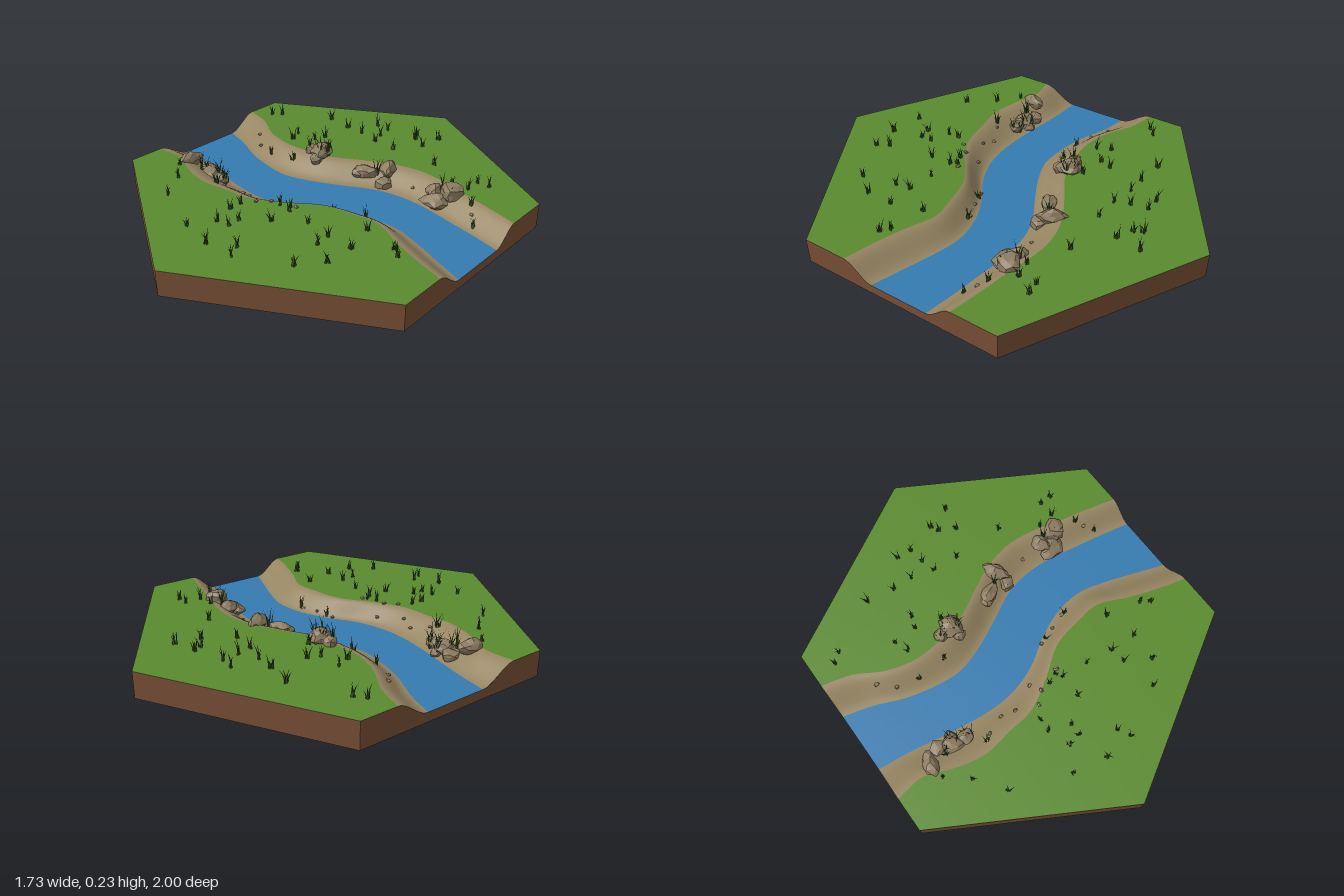
import * as THREE from 'three';
import { mergeGeometries } from 'three/addons/utils/BufferGeometryUtils.js';

const HALF = 0.866, TOP = 0.125, WATER = 0.045;

const material = (name, color, extra = {}) => {
  const m = new THREE.MeshStandardMaterial({ color, ...extra });
  m.name = name;
  return m;
};

// Small seeded random generator
let seed = 7;
const rand = (a = 0, b = 1) => {
  seed = (seed * 16807) % 2147483647;
  return a + (b - a) * (seed / 2147483647);
};

// Smooth line z(x) through 13 values evenly spaced from one end to the other
function edgeLine(vals) {
  const n = vals.length - 1;
  const at = i => (i < 0 ? 2 * vals[0] - vals[1] : i > n ? 2 * vals[n] - vals[n - 1] : vals[i]);
  return x => {
    const t = THREE.MathUtils.clamp((x + HALF) / (2 * HALF), 0, 1) * n;
    const i = Math.min(Math.floor(t), n - 1), f = t - i;
    const [a, b, c, d] = [at(i - 1), at(i), at(i + 1), at(i + 2)];
    return b + 0.5 * f * (c - a + f * (2 * a - 5 * b + 4 * c - d + f * (3 * (b - c) + d - a)));
  };
}
const northGrass = edgeLine([-.32, -.28, -.2, -.165, -.175, -.21, -.29, -.36, -.39, -.375, -.34, -.31, -.275]);
const northWater = edgeLine([-.16, -.12, -.06, -.025, -.015, -.06, -.13, -.205, -.235, -.23, -.205, -.18, -.15]);
const southWater = edgeLine([.15, .165, .19, .215, .23, .22, .17, .08, .02, .005, .04, .09, .14]);
const southGrass = edgeLine([.33, .315, .37, .4, .38, .36, .28, .18, .145, .13, .19, .24, .28]);
const hexEdge = x => 1 - (Math.abs(x) * 0.5) / HALF;

// Terrain height: level grass, sloping banks, level water
function heightAt(x, z) {
  const s = Math.max(
    (z - northWater(x)) / (northGrass(x) - northWater(x)),
    (z - southWater(x)) / (southGrass(x) - southWater(x)));
  return WATER + (TOP - WATER) * THREE.MathUtils.smoothstep(s, 0, 1);
}

// Grid surface from a rule (u, v) -> [x, y, z]
function surface(point, nu, nv) {
  const pos = [], idx = [];
  for (let j = 0; j <= nv; j++) for (let i = 0; i <= nu; i++) pos.push(...point(i / nu, j / nv));
  for (let j = 0; j < nv; j++) for (let i = 0; i < nu; i++) {
    const a = j * (nu + 1) + i, c = a + nu + 1;
    idx.push(a, a + 1, c, a + 1, c + 1, c);
  }
  const g = new THREE.BufferGeometry();
  g.setAttribute('position', new THREE.Float32BufferAttribute(pos, 3));
  g.setIndex(idx);
  g.computeVertexNormals();
  return g;
}

// Terrain band between two lines running along x
const band = (from, to, rows) => surface((u, v) => {
  const x = (v * 2 - 1) * HALF;
  const z = THREE.MathUtils.lerp(from(x), to(x), u);
  return [x, heightAt(x, z), z];
}, rows, 72);

// Irregular stone: an icosahedron with jittered corners
function stone(x, z, w, h, d, turn, detail = 1) {
  const g = new THREE.IcosahedronGeometry(1, detail);
  const p = g.attributes.position, v = new THREE.Vector3(), k = rand(1, 9);
  for (let i = 0; i < p.count; i++) {
    v.fromBufferAttribute(p, i);
    const bump = Math.sin(v.x * 5 + k) + Math.sin(v.y * 6 + k * 2) + Math.sin(v.z * 5 + k * 3);
    v.multiplyScalar(1 + 0.08 * bump);
    p.setXYZ(i, v.x, v.y, v.z);
  }
  g.scale(w, h, d).rotateY(turn).translate(x, heightAt(x, z) + h * 0.35, z);
  g.computeVertexNormals();
  return g;
}

// Tuft of thin blades bending outward
function tuft(x, z, height, count) {
  const blades = [];
  const start = rand(0, 6.28);
  for (let i = 0; i < count; i++) {
    const h = height * rand(0.6, 1.1), bend = rand(0.15, 0.45) / h;
    const g = new THREE.ConeGeometry(0.0055, h, 3, 3).translate(0, h / 2, 0);
    const p = g.attributes.position;
    for (let k = 0; k < p.count; k++) p.setX(k, p.getX(k) + bend * p.getY(k) ** 2);
    g.rotateY(start + (i * 6.28) / count + rand(-0.4, 0.4));
    g.translate(x + rand(-.008, .008), heightAt(x, z) - 0.004, z + rand(-.008, .008));
    g.computeVertexNormals();
    blades.push(g);
  }
  return mergeGeometries(blades);
}

export function createModel() {
  seed = 7;
  const group = new THREE.Group();
  const grass = material('grass green', 0x5a8a2e);
  const sand = material('sand', 0x968562);
  const water = material('water blue', 0x357bb0);
  const soil = material('soil brown', 0x784f36);
  const rock = material('rock', 0x8c7b60, { flatShading: true });
  const blade = material('blade green', 0x365a1e);
  const add = (name, geometry, mat) => {
    const mesh = new THREE.Mesh(geometry, mat);
    mesh.name = name;
    group.add(mesh);
  };

  // Ground surfaces from back to front
  add('northMeadow', band(x => -hexEdge(x), northGrass, 4), grass);
  add('northBank', band(northGrass, northWater, 10), sand);
  add('river', band(northWater, southWater, 4), water);
  add('southBank', band(southWater, southGrass, 10), sand);
  add('southMeadow', band(southGrass, hexEdge, 4), grass);

  // Soil walls follow the terrain, notched where the river leaves
  const corners = [[-HALF, .5], [0, 1], [HALF, .5], [HALF, -.5], [0, -1], [-HALF, -.5]];
  corners.forEach(([x0, z0], i) => {
    const [x1, z1] = corners[(i + 1) % 6];
    const isEnd = x0 === x1;
    add('soilWall', surface((u, v) => {
      const x = THREE.MathUtils.lerp(x0, x1, u), z = THREE.MathUtils.lerp(z0, z1, u);
      return [x, v * (isEnd ? heightAt(x, z) : TOP), z];
    }, isEnd ? 80 : 1, 1), soil);
  });
  add('soilBottom', new THREE.CircleGeometry(1, 6, Math.PI / 2).rotateX(Math.PI / 2), soil);

  // Boulders: x, z, width, height, depth, turn
  const boulders = [
    [-.21, -.2, .055, .042, .06, .5], [-.27, -.19, .035, .028, .035, 1], [-.2, -.15, .04, .03, .03, 2],
    [.05, -.24, .06, .035, .038, .4], [.14, -.31, .038, .04, .07, .5], [.16, -.25, .042, .03, .035, 1.2],
    [.02, -.22, .035, .025, .03, 2], [.42, -.31, .04, .035, .055, .3], [.46, -.27, .07, .038, .055, .5],
    [.51, -.32, .05, .045, .055, 2.4], [-.66, .29, .035, .04, .062, -.2], [-.59, .235, .042, .03, .035, .6],
    [-.53, .265, .05, .032, .055, 1], [-.46, .27, .042, .03, .038, .3], [-.51, .225, .03, .025, .025, 2],
  ];
  add('boulders', mergeGeometries(boulders.map(b => stone(...b))), rock);

  // Pebbles on the banks
  const pebbles = [[-.65, -.18], [-.58, -.12], [-.07, .25], [.07, .27], [.11, .11], [.2, .08], [.28, .05],
    [-.1, .36], [-.27, .29], [-.2, .31], [-.36, .33], [.3, -.3], [.66, -.26], [-.05, .31]];
  add('pebbles', mergeGeometries(pebbles.map(([x, z]) =>
    stone(x, z, rand(.01, .016), .007, rand(.008, .012), rand(0, 3), 0))), rock);

  // Grass tufts over both meadows
  const north = [[.02, -.7], [.14, -.74], [-.21, -.66], [-.14, -.65], [.04, -.66], [.12, -.62], [-.12, -.57],
    [-.46, -.55], [-.32, -.53], [-.1, -.5], [.03, -.49], [-.21, -.52], [.29, -.49], [.55, -.48], [.61, -.48],
    [-.71, -.41], [-.75, -.37], [-.33, -.36], [-.47, -.29], [-.35, -.3], [-.44, -.22], [-.22, -.27],
    [.47, -.38], [.55, -.39], [.63, -.3], [.7, -.22], [-.47, -.09], [-.32, -.1]];
  const south = [[.3, .05], [.14, .1], [.43, .2], [.61, .24], [.65, .27], [.47, .36], [.34, .35], [.21, .33],
    [.35, .43], [.47, .5], [.38, .6], [0, .31], [.07, .32], [.07, .43], [-.14, .42], [-.14, .48], [-.04, .52],
    [-.04, .58], [-.1, .59], [-.17, .7], [0, .74], [.12, .67], [.15, .73], [-.45, .59], [-.55, .46],
    [-.65, .37], [-.39, .35], [.05, .29]];
  add('grassTufts', mergeGeometries([...north, ...south].map(([x, z]) =>
    tuft(x, z, rand(.055, .07), 5))), blade);

  // Taller reeds among the boulders
  const reeds = [[-.5, .25], [-.45, .24], [-.56, .27], [-.52, .22], [-.43, .27], [-.58, .29], [-.24, -.21],
    [-.19, -.17], [-.27, -.18], [-.2, -.23], [-.17, -.2], [.45, -.33], [.5, -.29], [.1, -.27]];
  add('reeds', mergeGeometries(reeds.map(([x, z]) => tuft(x, z, .1, 4))), blade);

  return group;
}
